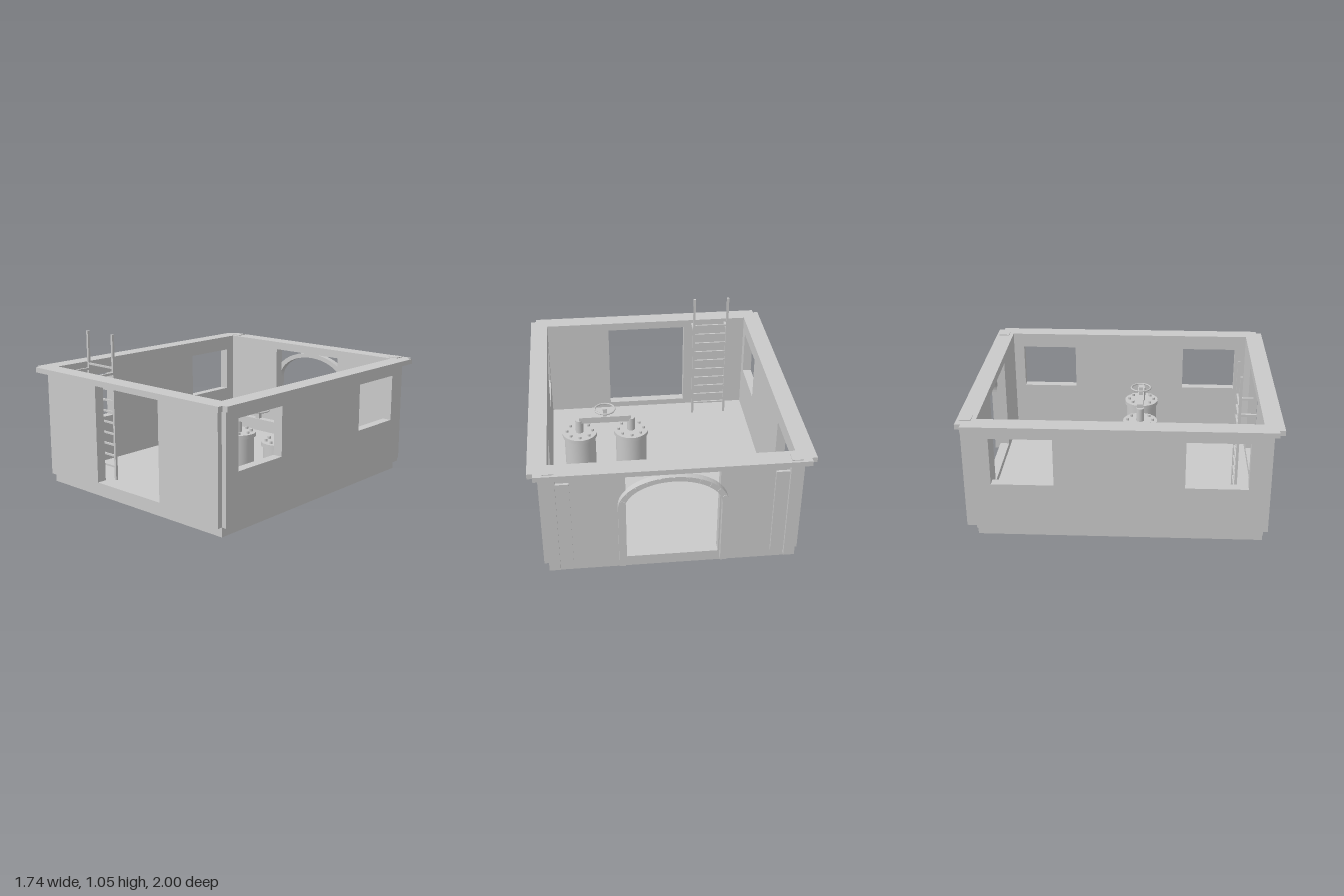
import * as THREE from 'three';

const grey = new THREE.MeshStandardMaterial({ color: 0xc9c9c9 });
grey.name = 'plainGrey';

function add(parent, name, geometry, x = 0, y = 0, z = 0) {
  const mesh = new THREE.Mesh(geometry, grey);
  mesh.name = name;
  mesh.position.set(x, y, z);
  parent.add(mesh);
  return mesh;
}

// box given by its limits on each axis
function box(parent, name, x0, x1, y0, y1, z0, z1) {
  return add(parent, name, new THREE.BoxGeometry(x1 - x0, y1 - y0, z1 - z0),
    (x0 + x1) / 2, (y0 + y1) / 2, (z0 + z1) / 2);
}

function rectPath(u0, u1, v0, v1, Type = THREE.Path) {
  return new Type([[u0, v0], [u1, v0], [u1, v1], [u0, v1]].map(([u, v]) => new THREE.Vector2(u, v)));
}

function extrude(shape, depth) {
  return new THREE.ExtrudeGeometry(shape, { depth, bevelEnabled: false, curveSegments: 20 });
}

// upright wall with rectangular openings
function wall(halfWidth, depth, openings) {
  const shape = rectPath(-halfWidth, halfWidth, 0.062, 0.775, THREE.Shape);
  openings.forEach((o) => shape.holes.push(rectPath(...o)));
  return extrude(shape, depth);
}

function buildShell(group) {
  // the top of the plinth is the floor, sunk below the door sills
  box(group, 'plinth', -0.78, 0.78, 0, 0.062, -0.912, 0.912);

  // end walls with a doorway, side walls with two windows
  const doorway = [[-0.29, 0.29, 0.105, 0.75]];
  add(group, 'frontWall', wall(0.78, 0.065, doorway), 0, 0, 0.88);
  add(group, 'backWall', wall(0.78, 0.065, doorway), 0, 0, -0.945);
  const windows = [[-0.805, -0.41, 0.385, 0.703], [0.41, 0.805, 0.385, 0.703]];
  add(group, 'leftWall', wall(0.912, 0.063, windows), 0.75).rotation.y = Math.PI / 2;
  add(group, 'rightWall', wall(0.912, 0.063, windows), -0.813).rotation.y = Math.PI / 2;

  // cornice ring with notched corners
  const a = 0.87, b = 0.835, c = 1, d = 0.963;
  const rim = new THREE.Shape([[b, -c], [b, -d], [a, -d], [a, d], [b, d], [b, c],
    [-b, c], [-b, d], [-a, d], [-a, -d], [-b, -d], [-b, -c]].map(([x, y]) => new THREE.Vector2(x, y)));
  rim.holes.push(rectPath(-0.75, 0.75, -0.88, 0.88));
  add(group, 'cornice', extrude(rim, 0.034), 0, 0.773, 0).rotation.x = -Math.PI / 2;

  // pilasters and slim panels on the back wall
  for (const s of [-1, 1]) {
    const mid = 0.745 * s, panel = 0.668 * s;
    box(group, 'backPilaster', mid - 0.035, mid + 0.035, 0.062, 0.812, -0.982, -0.91);
    box(group, 'backPanel', panel - 0.042, panel + 0.042, 0.09, 0.715, -0.962, -0.94);
  }

  // arched surround of the back doorway
  const spring = 0.52;
  const arch = new THREE.Shape();
  arch.moveTo(0.34, 0.062);
  arch.lineTo(0.34, spring);
  arch.absellipse(0, spring, 0.34, 0.22, 0, Math.PI, false);
  arch.lineTo(-0.34, 0.062);
  arch.lineTo(-0.3, 0.062);
  arch.lineTo(-0.3, spring);
  arch.absellipse(0, spring, 0.3, 0.188, Math.PI, 0, true);
  arch.lineTo(0.3, 0.062);
  add(group, 'backArch', extrude(arch, 0.045), 0, 0, -0.985);

  // small raised joints around the arch
  for (let i = 1; i < 12; i++) {
    const t = (i * Math.PI) / 12;
    const joint = add(group, 'archJoint', new THREE.BoxGeometry(0.026, 0.01, 0.008),
      0.32 * Math.cos(t), spring + 0.204 * Math.sin(t), -0.985);
    joint.rotation.z = Math.atan2(Math.sin(t) / 0.204, Math.cos(t) / 0.32);
  }
}

function buildLadder() {
  const ladder = new THREE.Group();
  ladder.name = 'ladder';
  for (const x of [-0.595, -0.347]) {
    box(ladder, 'ladderPost', x - 0.008, x + 0.008, 0.062, 1.05, 0.732, 0.748);
    box(ladder, 'ladderBracket', x - 0.008, x + 0.008, 0.785, 0.8, 0.74, 0.845);
  }
  for (let i = 0; i < 10; i++) {
    const y = 0.828 - i * 0.075;
    box(ladder, 'ladderRung', -0.595, -0.347, y - 0.006, y + 0.006, 0.734, 0.746);
  }
  return ladder;
}

function buildTank(x, z) {
  const tank = new THREE.Group();
  tank.name = 'tank';
  tank.position.set(x, 0, z);
  const drum = (name, r, y0, y1, px = 0, pz = 0, n = 32) =>
    add(tank, name, new THREE.CylinderGeometry(r, r, y1 - y0, n), px, (y0 + y1) / 2, pz);
  drum('tankBody', 0.11, 0.062, 0.343);
  drum('tankFlange', 0.123, 0.343, 0.37);
  drum('tankNeck', 0.028, 0.37, 0.468, 0, 0, 20);
  for (let i = 0; i < 8; i++) {
    const t = (i * Math.PI) / 4;
    drum('flangeBolt', 0.011, 0.37, 0.387, 0.09 * Math.cos(t), 0.09 * Math.sin(t), 10);
  }
  return tank;
}

function buildPump() {
  const pump = new THREE.Group();
  pump.name = 'pump';
  pump.add(buildTank(0.182, 0.102), buildTank(0.547, 0.102));
  box(pump, 'crossPipe', 0.182, 0.547, 0.448, 0.494, 0.079, 0.125);

  // handwheel on its stem
  box(pump, 'valveStem', 0.35, 0.378, 0.49, 0.553, 0.088, 0.116);
  add(pump, 'handwheel', new THREE.TorusGeometry(0.07, 0.006, 8, 32), 0.364, 0.547, 0.102).rotation.x = Math.PI / 2;
  return pump;
}

export function createModel() {
  const model = new THREE.Group();
  model.name = 'pumpHouse';
  buildShell(model);
  model.add(buildLadder(), buildPump());
  return model;
}
